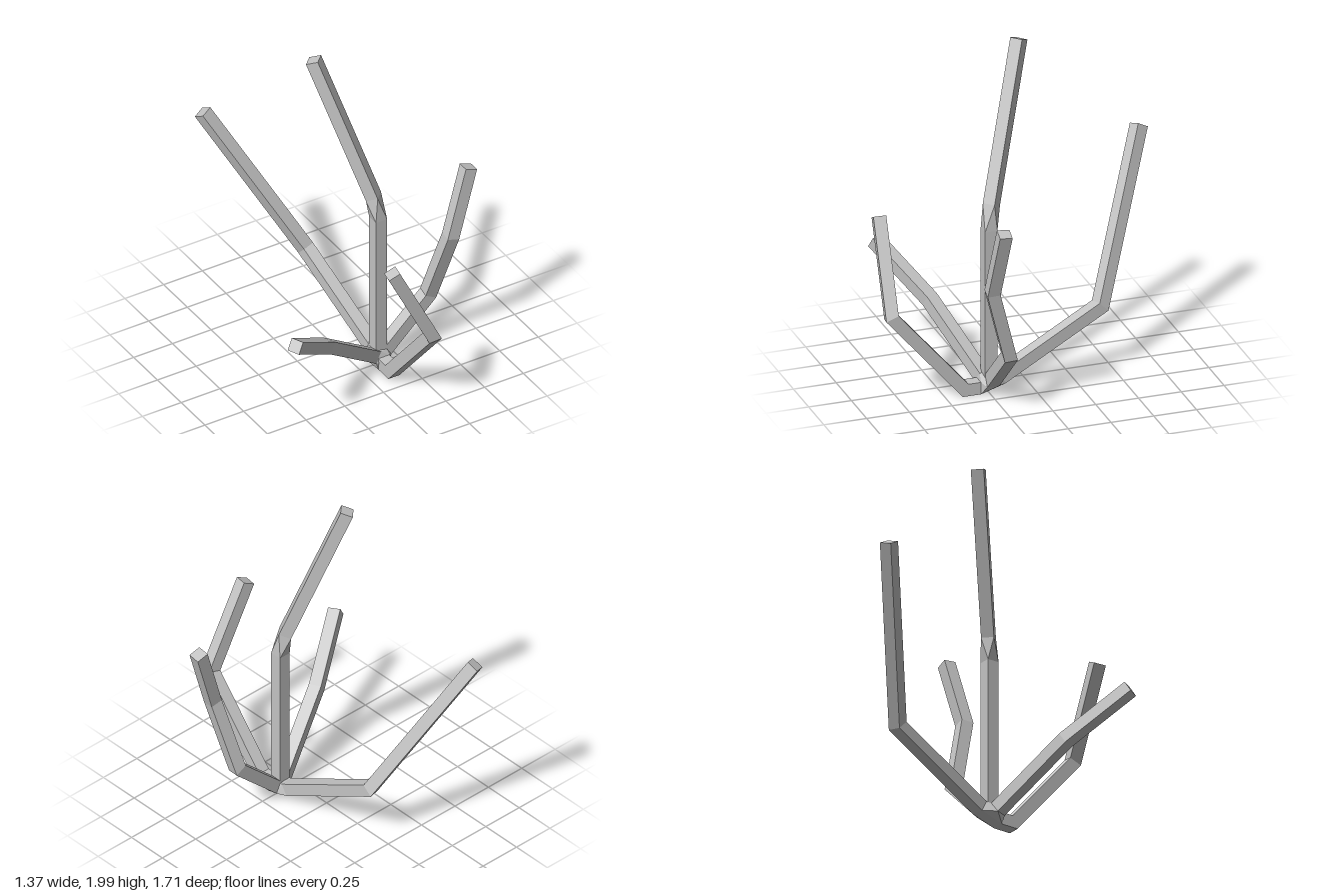
import * as THREE from 'three';
import { ConvexGeometry } from 'three/addons/geometries/ConvexGeometry.js';

const HALF = 0.036; // half the width of the square section

// Square section rings swept along a path, mitred at every bend
function sweepRings(points) {
  const pts = points.map((p) => new THREE.Vector3(...p));
  const dirs = pts.slice(1).map((p, i) => p.clone().sub(pts[i]).normalize());
  const u = new THREE.Vector3(0, 1, 0).cross(dirs[0]);
  if (u.length() < 0.01) u.set(1, 0, 0);
  u.normalize();
  const v = dirs[0].clone().cross(u);
  const corners = [[1, 1], [-1, 1], [-1, -1], [1, -1]];
  const rings = [corners.map(([a, b]) =>
    pts[0].clone().addScaledVector(u, a * HALF).addScaledVector(v, b * HALF))];
  for (let i = 1; i < pts.length; i++) {
    const d = dirs[i - 1];
    const normal = d.clone().add(dirs[i] ?? d).normalize();
    rings.push(rings[i - 1].map((c) => {
      const t = pts[i].clone().sub(c).dot(normal) / d.dot(normal);
      return c.clone().addScaledVector(d, t);
    }));
  }
  return rings;
}

// Skin the rings with flat faces and close both ends
function skin(rings) {
  const out = [];
  const quad = (a, b, c, d) => [a, b, c, a, c, d].forEach((p) => out.push(p.x, p.y, p.z));
  for (let i = 0; i + 1 < rings.length; i++) {
    for (let k = 0; k < 4; k++) {
      const n = (k + 1) % 4;
      quad(rings[i][k], rings[i][n], rings[i + 1][n], rings[i + 1][k]);
    }
  }
  quad(...[...rings[0]].reverse());
  quad(...rings[rings.length - 1]);
  const g = new THREE.BufferGeometry();
  g.setAttribute('position', new THREE.Float32BufferAttribute(out, 3));
  g.computeVertexNormals();
  return g;
}

export function createModel() {
  const group = new THREE.Group();
  const bark = new THREE.MeshStandardMaterial({ color: 0xc4c4c4 });
  bark.name = 'light grey';

  const add = (name, geometry) => {
    const mesh = new THREE.Mesh(geometry, bark);
    mesh.name = name;
    group.add(mesh);
  };

  // Centre lines of the branches, from the base to the tip
  const paths = {
    trunk: [[0.125, 0.1, 0.24], [0.125, 0.98, 0.24]],
    trunkTop: [[0.107, 1.12, 0.22], [-0.13, 1.985, -0.025]],
    backBranch: [[0.125, 0.08, 0.175], [0.068, 0.39, -0.43], [-0.365, 1.24, -0.81]],
    leftBranch: [[0.165, 0.08, 0.237], [0.45, 0.35, 0.237], [0.52, 0.785, 0.36], [0.65, 1.19, 0.335]],
    frontBranch: [[0.125, 0.04, 0.3], [0.125, 0.04, 0.39], [0.125, 0.53, 0.81], [-0.125, 1.035, 0.795]],
    rightBranch: [[0.08, 0.08, 0.265], [-0.32, 0.395, 0.43], [-0.65, 0.64, 0.632]],
  };
  const rings = {};
  for (const [name, path] of Object.entries(paths)) {
    rings[name] = sweepRings(path);
    add(name, skin(rings[name]));
  }

  // Twisted bend where the trunk turns into its leaning top
  add('trunkBend', new ConvexGeometry([...rings.trunk[1], ...rings.trunkTop[0]]));

  // Faceted hub that gathers all the branches at the base
  const starts = Object.keys(paths).filter((n) => n !== 'trunkTop').flatMap((n) => rings[n][0]);
  add('baseHub', new ConvexGeometry(starts));

  return group;
}
